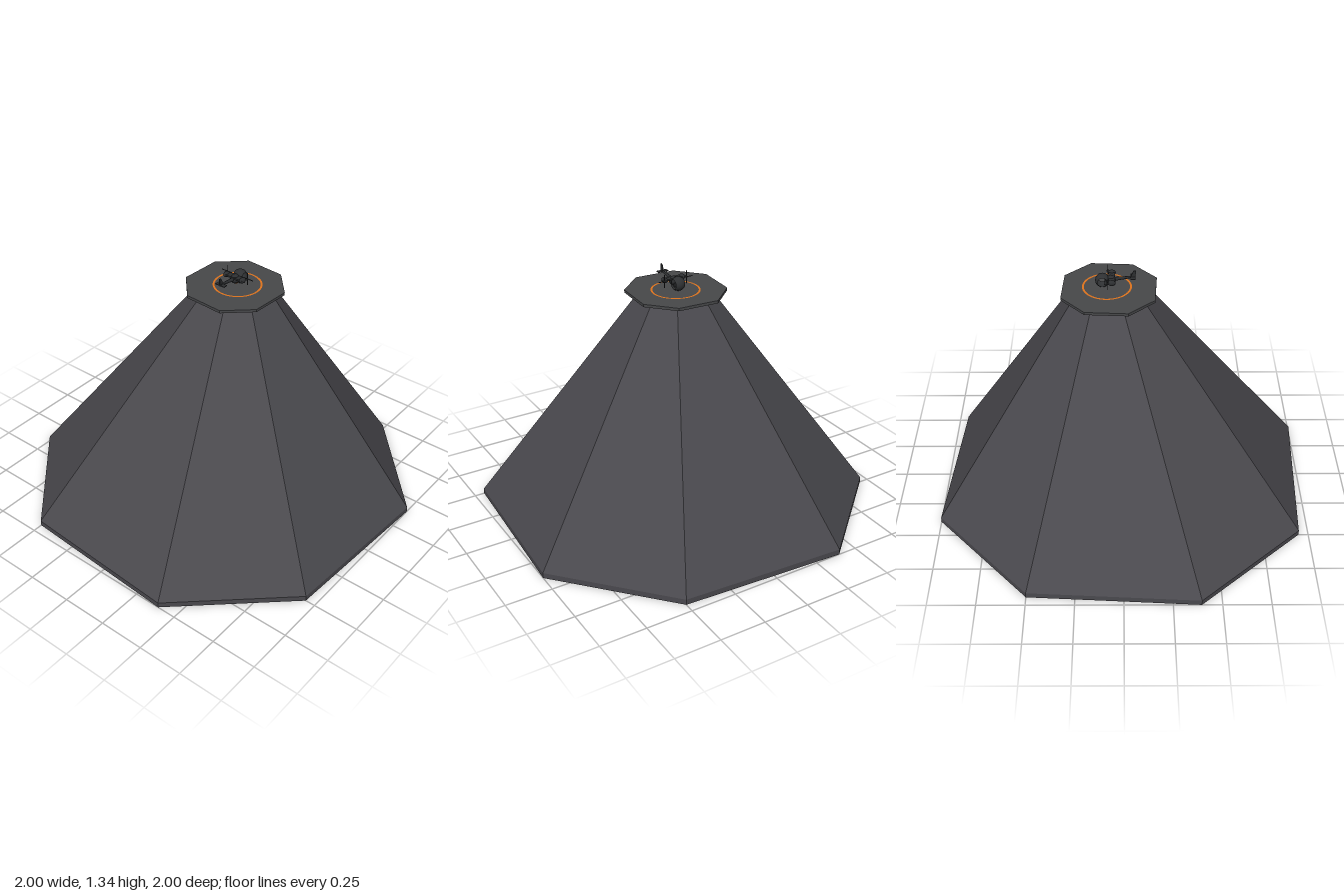
import * as THREE from 'three';

const mat = (name, color, side = THREE.FrontSide) => {
  const m = new THREE.MeshStandardMaterial({ color, side });
  m.name = name;
  return m;
};

// Slightly turned octagon: two corners repeated by quarter turns
const corners = [];
for (let k = 0, a = [0.395, 1], b = [0.947, 0.5]; k < 4; k++) {
  corners.push(a, b);
  a = [a[1], -a[0]];
  b = [b[1], -b[0]];
}

// Flat-faced solid through octagonal levels [y, scale, centreX, centreZ]
function octagonLoft(levels) {
  const pos = [];
  const rings = levels.map(([y, s, cx, cz]) => corners.map(([x, z]) => [cx + x * s, y, cz + z * s]));
  for (let r = 0; r < rings.length - 1; r++) {
    for (let i = 0; i < 8; i++) {
      const j = (i + 1) % 8, lo = rings[r], hi = rings[r + 1];
      pos.push(...lo[i], ...lo[j], ...hi[j], ...lo[i], ...hi[j], ...hi[i]);
    }
  }
  const bottom = rings[0], top = rings[rings.length - 1];
  for (let i = 1; i < 7; i++) {
    pos.push(...top[0], ...top[i], ...top[i + 1]);
    pos.push(...bottom[0], ...bottom[i + 1], ...bottom[i]);
  }
  const g = new THREE.BufferGeometry();
  g.setAttribute('position', new THREE.Float32BufferAttribute(pos, 3));
  g.computeVertexNormals();
  return g;
}

export function createModel() {
  const model = new THREE.Group();
  const rock = mat('charcoal rock', 0x4a494e);
  const deck = mat('deck grey', 0x47484a);
  const dark = mat('dark metal', 0x2c2e30);
  const shell = mat('dark canopy', 0x2f3133, THREE.DoubleSide);
  const orange = mat('marking orange', 0xe0741c);

  const add = (parent, name, geo, material, x = 0, y = 0, z = 0) => {
    const m = new THREE.Mesh(geo, material);
    m.name = name;
    m.position.set(x, y, z);
    parent.add(m);
    return m;
  };

  // Tower with a low plinth, leaning to an off-centre top
  add(model, 'tower', octagonLoft([[0, 1, 0, 0], [0.03, 1, 0, 0], [1.228, 0.178, 0.073, 0.035]]), rock);
  // Landing pad and painted circle
  add(model, 'landingPad', octagonLoft([[1.228, 0.247, 0.073, 0.031], [1.243, 0.247, 0.073, 0.031]]), deck);
  const ring = add(model, 'landingCircle', new THREE.RingGeometry(0.119, 0.129, 48), orange, 0.085, 1.2445, 0.04);
  ring.rotation.x = -Math.PI / 2;

  // Small aircraft, nose toward +x
  const craft = new THREE.Group();
  craft.name = 'aircraft';
  craft.position.set(0.07, 1.287, 0.039);
  model.add(craft);

  // Canopy: round shell open at both sides
  const profile = [];
  for (let i = 0; i <= 8; i++) {
    const a = -0.82 + (1.64 * i) / 8;
    profile.push(new THREE.Vector2(0.037 * Math.cos(a), 0.037 * Math.sin(a)));
  }
  const canopy = add(craft, 'canopy', new THREE.LatheGeometry(profile, 24), shell, 0.038, -0.003, 0);
  canopy.rotation.x = Math.PI / 2;

  const body = add(craft, 'fuselage', new THREE.SphereGeometry(1, 16, 12), dark, -0.005, 0, 0);
  body.scale.set(0.028, 0.024, 0.024);
  add(craft, 'seat', new THREE.BoxGeometry(0.014, 0.022, 0.024), dark, 0.02, -0.014, 0);
  add(craft, 'bellyLight', new THREE.BoxGeometry(0.014, 0.006, 0.014), orange, 0.003, -0.026, 0);

  // Tail
  const boom = add(craft, 'tailBoom', new THREE.CylinderGeometry(0.005, 0.011, 0.11, 8), dark, -0.066, 0.009, 0);
  boom.rotation.z = Math.PI / 2 - 0.13;
  const finShape = new THREE.Shape();
  [[-0.135, 0.052], [-0.122, 0.052], [-0.106, 0.016], [-0.13, 0.01]].forEach(([x, y], i) =>
    i ? finShape.lineTo(x, y) : finShape.moveTo(x, y));
  add(craft, 'tailFin', new THREE.ExtrudeGeometry(finShape, { depth: 0.006, bevelEnabled: false }), dark, 0, 0, -0.003);
  add(craft, 'tailplane', new THREE.BoxGeometry(0.024, 0.004, 0.058), dark, -0.119, 0.015, 0);

  // Wing with a pod and four-bladed propeller on each side
  add(craft, 'wing', new THREE.BoxGeometry(0.034, 0.008, 0.12), dark, -0.01, 0.012, 0);
  for (const s of [-1, 1]) {
    const pod = add(craft, 'enginePod', new THREE.SphereGeometry(1, 12, 8), dark, -0.01, 0.01, s * 0.052);
    pod.scale.set(0.021, 0.015, 0.015);
    const hub = add(craft, 'propellerHub', new THREE.CylinderGeometry(0.004, 0.006, 0.012, 8), dark, 0.01, 0.013, s * 0.066);
    hub.rotation.z = -Math.PI / 2;
    add(craft, 'propellerBladeUpright', new THREE.BoxGeometry(0.002, 0.07, 0.004), dark, 0.013, 0.013, s * 0.066);
    add(craft, 'propellerBladeLevel', new THREE.BoxGeometry(0.002, 0.004, 0.07), dark, 0.013, 0.013, s * 0.066);
  }
  return model;
}
